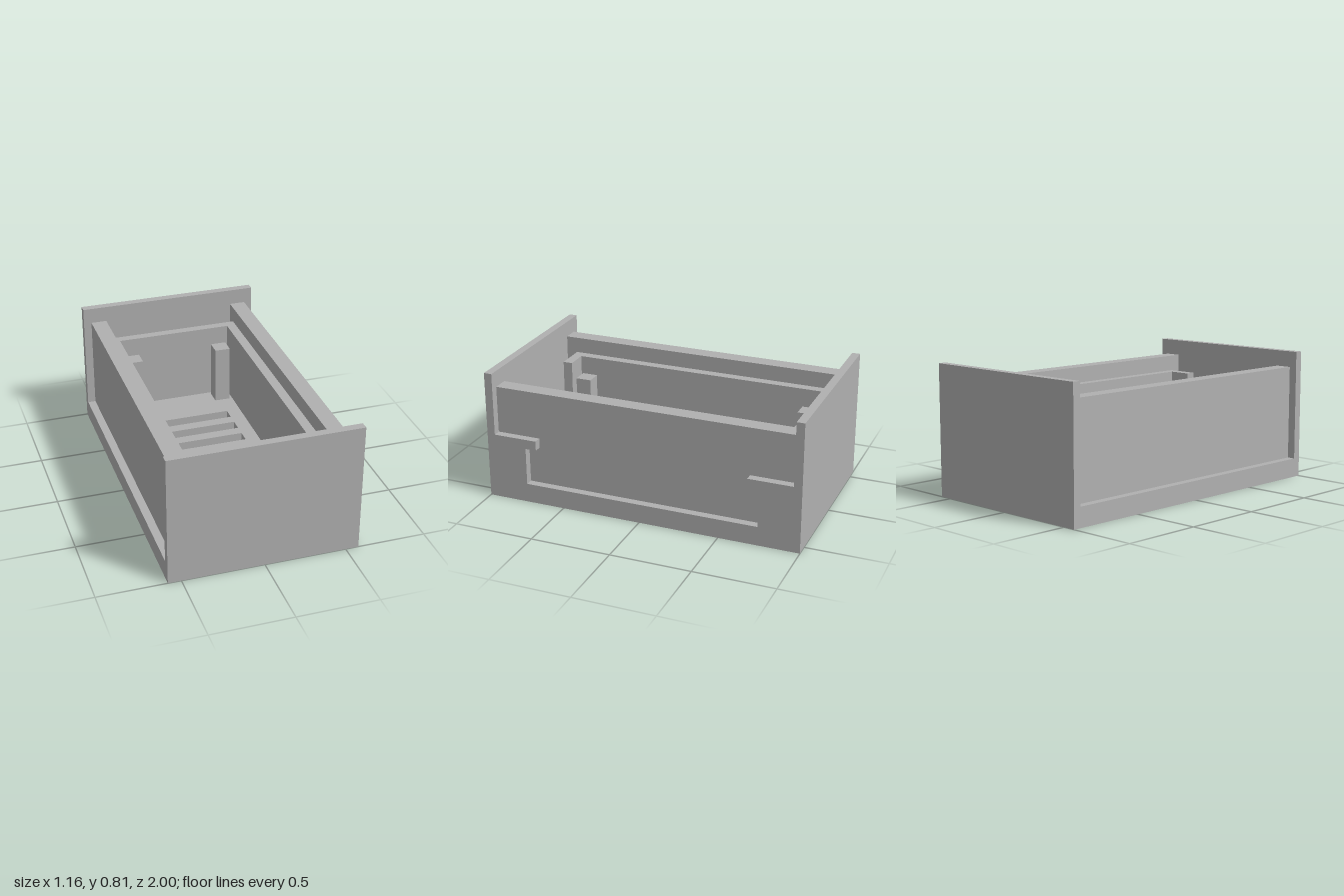
import * as THREE from 'three';

export function createModel() {
  const model = new THREE.Group();
  model.name = 'openCase';
  const plastic = new THREE.MeshStandardMaterial({ color: 0xb0b0b0 });
  plastic.name = 'plainGrey';

  const add = (name, geometry) => {
    const mesh = new THREE.Mesh(geometry, plastic);
    mesh.name = name;
    model.add(mesh);
    return mesh;
  };

  // Box given by its lower and upper limits on each axis
  const block = (name, x0, x1, y0, y1, z0, z1) => {
    const mesh = add(name, new THREE.BoxGeometry(x1 - x0, y1 - y0, z1 - z0));
    mesh.position.set((x0 + x1) / 2, (y0 + y1) / 2, (z0 + z1) / 2);
  };

  const points = (list) => list.map(([x, y]) => new THREE.Vector2(x, y));
  const rectangle = (x0, x1, y0, y1) => points([[x0, y0], [x1, y0], [x1, y1], [x0, y1]]);
  const extrude = (shape, depth) => new THREE.ExtrudeGeometry(shape, { depth, bevelEnabled: false });

  const W = 0.58, L = 0.95, floorTop = 0.12, wallTop = 0.71, lipTop = 0.61;

  // Floor with five vent slots
  const floor = new THREE.Shape(rectangle(-W, W, -L, L));
  for (let i = 0; i < 5; i++) {
    const z = -0.51 + i * 0.152;
    floor.holes.push(new THREE.Path(rectangle(-0.28, 0.28, -z - 0.041, -z + 0.041)));
  }
  add('ventedFloor', extrude(floor, floorTop).rotateX(-Math.PI / 2));

  // Tall end plates
  block('frontPlate', -W, W, 0, 0.81, L, 1);
  block('backPlate', -W, W, 0, 0.81, -1, -L);

  // Side walls, set in from the floor edge, with the inner lip
  for (const s of [-1, 1]) {
    const side = s > 0 ? 'left' : 'right';
    const mirrored = (name, a, b, ...rest) =>
      block(side + name, Math.min(s * a, s * b), Math.max(s * a, s * b), ...rest);
    mirrored('SideWall', 0.43, 0.53, floorTop, wallTop, -L, L);
    mirrored('InnerLip', 0.37, 0.43, floorTop, lipTop, -0.885, 0.88);
    mirrored('FrontLipReturn', 0.23, 0.37, floorTop, lipTop, 0.82, 0.88);

    // Support posts
    mirrored('BackPost', 0.25, 0.35, floorTop, 0.5, -0.81, -0.71);
    mirrored('FrontPost', 0.25, 0.35, floorTop, 0.5, 0.70, 0.80);
  }
  block('backInnerLip', -0.37, 0.37, floorTop, lipTop, -0.885, -0.83);

  // Hooked catches on the outside of the left wall
  for (const s of [-1, 1]) {
    const profile = [
      [L, floorTop], [0.743, floorTop], [0.743, 0.355],
      [0.673, 0.355], [0.673, 0.415], [L, 0.415],
    ].map(([z, y]) => [s * z, y]);
    const hook = extrude(new THREE.Shape(points(profile)), 0.05);
    add(s > 0 ? 'frontHook' : 'backHook', hook.rotateY(-Math.PI / 2).translate(W, 0, 0));
  }

  return model;
}
